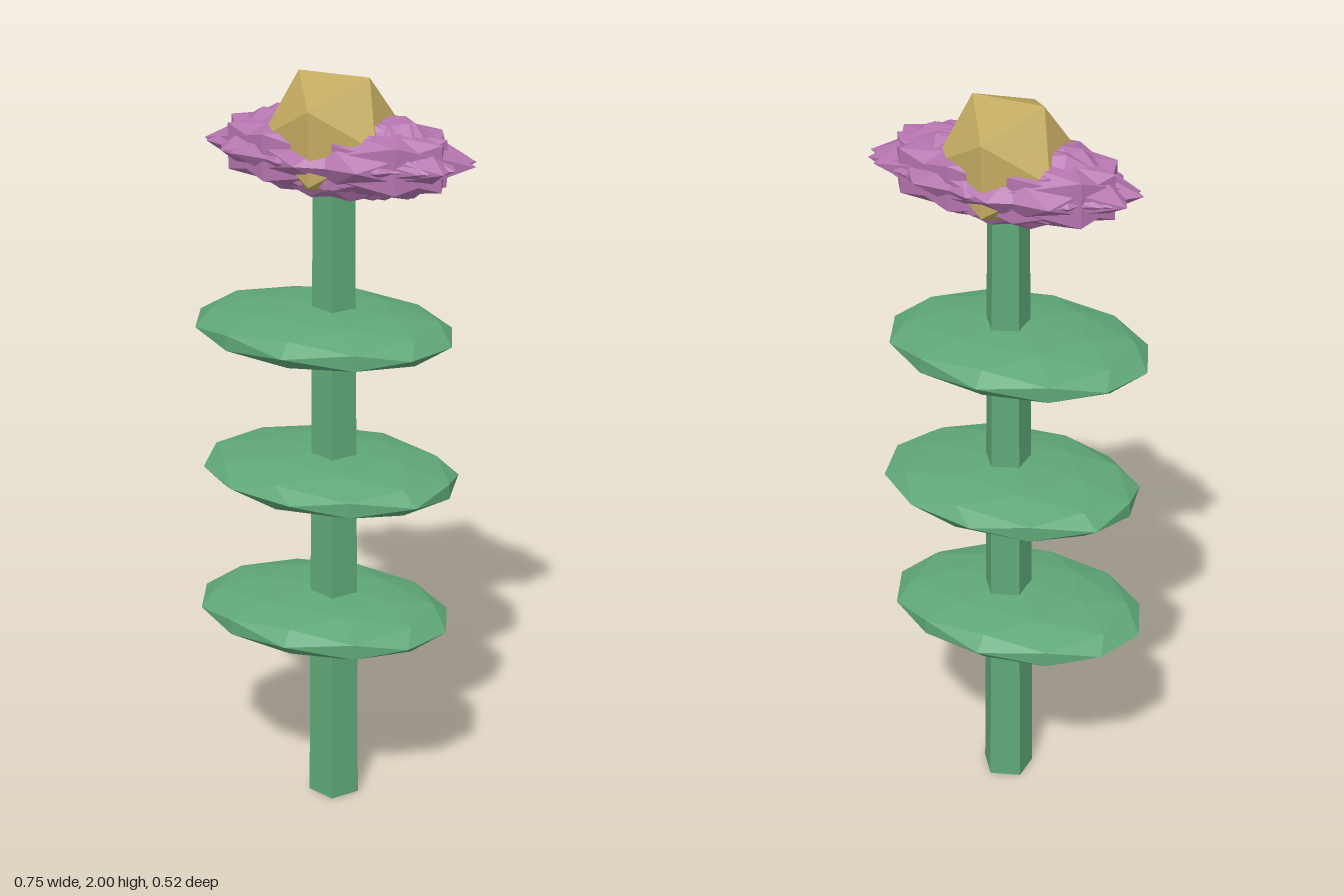
import * as THREE from 'three';

const paint = (color) => new THREE.MeshStandardMaterial({ color, flatShading: true });

export function createModel() {
  const flower = new THREE.Group();
  flower.name = 'flower';
  const green = paint(0x5fa777);
  const purple = paint(0xb374ad);
  const gold = paint(0xc2aa60);

  const add = (name, geometry, material, x, y, z) => {
    const mesh = new THREE.Mesh(geometry, material);
    mesh.name = name;
    mesh.position.set(x, y, z);
    flower.add(mesh);
  };

  // A faceted ball, turned about y and then flattened
  const blob = (detail, turn, sx, sy, sz) =>
    new THREE.IcosahedronGeometry(1, detail).rotateY(turn).scale(sx, sy, sz);

  // Tapered five-sided stem
  add('stem', new THREE.CylinderGeometry(0.055, 0.07, 1.8, 5, 1, false, Math.PI / 2), green, 0, 0.9, 0);

  // Three stacked leaves, the middle one turned
  [0.545, 0.94, 1.34].forEach((y, i) => {
    const middle = i === 1;
    add('leaf', blob(1, middle ? 1.017 : 0, 0.35, 0.066, 0.252), green,
      middle ? -0.015 : -0.027, y, middle ? -0.008 : 0.008);
  });

  // Spiky bloom of overlapping petals
  const count = 10;
  for (let i = 0; i < count; i++) {
    const a = (i / count) * Math.PI * 2;
    add('petal', blob(0, a * 1.07, 0.342, 0.112, 0.16), purple,
      0.012 + 0.022 * Math.cos(a), 1.806, 0.004 + 0.01 * Math.sin(a));
  }

  // Golden centre
  add('flowerCentre', new THREE.IcosahedronGeometry(0.18, 0), gold, 0, 1.847, 0.004);

  return flower;
}
